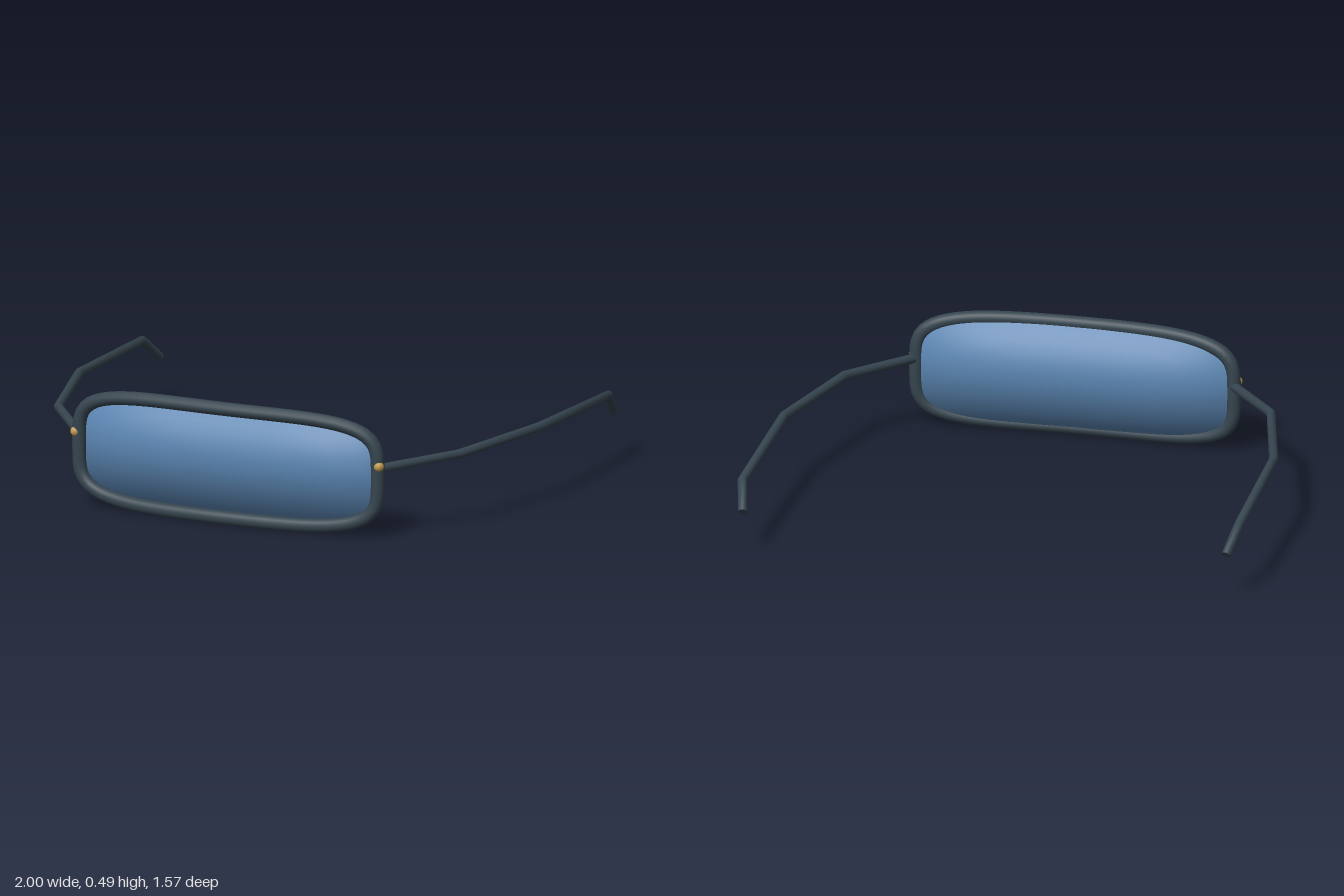
import * as THREE from 'three';

const FRAME = 0x36454f, LENS = 0x5a84b0, GOLD = 0xc09a50;
const CY = 0.244, HALF_W = 0.628, HALF_H = 0.216, RIM_R = 0.027;

const spow = (v, p) => Math.sign(v) * Math.pow(Math.abs(v), p);
const wrapZ = (x) => 0.757 - 0.122 * x * x; // the rim wraps back at the sides

// Rounded-rectangle outline (superellipse)
const outline = (a) => [HALF_W * spow(Math.cos(a), 2 / 4.3), HALF_H * spow(Math.sin(a), 2 / 4.3)];

class RimCurve extends THREE.Curve {
  getPoint(t, target = new THREE.Vector3()) {
    const [x, y] = outline(t * Math.PI * 2);
    return target.set(x, CY + y, wrapZ(x));
  }
}

// Straight segments with mitred bends: one tube ring per point
class BentCurve extends THREE.Curve {
  constructor(points) {
    super();
    this.points = points;
  }
  getPointAt(t, target = new THREE.Vector3()) {
    return target.copy(this.points[Math.round(t * (this.points.length - 1))]);
  }
  getPoint(t, target) {
    return this.getPointAt(t, target);
  }
  getTangentAt(t, target = new THREE.Vector3()) {
    const p = this.points, i = Math.round(t * (p.length - 1));
    target.set(0, 0, 0);
    if (i > 0) target.add(p[i].clone().sub(p[i - 1]).normalize());
    if (i < p.length - 1) target.add(p[i + 1].clone().sub(p[i]).normalize());
    return target.normalize();
  }
}

function mesh(name, geometry, color) {
  const m = new THREE.Mesh(geometry, new THREE.MeshStandardMaterial({ color }));
  m.name = name;
  return m;
}

// Thin lens: concentric outlines, softly shaded towards the edge on both faces
function lensGeometry() {
  const N = 64, scales = [1, 0.94, 0.85, 0.7, 0.5, 0.25, 0.001];
  const pos = [], nor = [], idx = [];
  for (const side of [1, -1]) {
    const base = pos.length / 3;
    for (const s of scales) {
      const bulge = 1 - Math.pow(s, 6);
      for (let j = 0; j < N; j++) {
        const [ox, oy] = outline((j / N) * Math.PI * 2);
        const x = ox * s, y = oy * s;
        const edge = wrapZ(x) - 0.012;
        const face = side > 0 ? 0.733 - 0.06 * x * x : 0.685 - 0.017 * x;
        pos.push(x, CY + y, THREE.MathUtils.lerp(edge, face, bulge));
        const n = new THREE.Vector3(0.5 * Math.pow(x / HALF_W, 3), 0.8 * y / HALF_H, side * 0.85).normalize();
        nor.push(n.x, n.y, n.z);
      }
    }
    for (let i = 0; i < scales.length - 1; i++) {
      for (let j = 0; j < N; j++) {
        const k = (j + 1) % N;
        const a = base + i * N + j, b = base + i * N + k, c = a + N, d = b + N;
        if (side > 0) idx.push(a, b, d, a, d, c);
        else idx.push(a, d, b, a, c, d);
      }
    }
  }
  const g = new THREE.BufferGeometry();
  g.setAttribute('position', new THREE.Float32BufferAttribute(pos, 3));
  g.setAttribute('normal', new THREE.Float32BufferAttribute(nor, 3));
  g.setIndex(idx);
  return g;
}

// Side arm with a hooked ear tip
function temple(side) {
  const group = new THREE.Group();
  group.name = side > 0 ? 'leftTemple' : 'rightTemple';
  const points = [
    [0.63, 0.278, 0.7], [0.843, 0.292, 0.425], [0.968, 0.296, -0.05],
    [0.981, 0.27, -0.67], [0.955, 0.181, -0.775],
  ].map(([x, y, z]) => new THREE.Vector3(side * x, y, z));
  const curve = new BentCurve(points);
  group.add(mesh('arm', new THREE.TubeGeometry(curve, points.length - 1, 0.0185, 10, false), FRAME));

  // Flat end cap
  const cap = mesh('armTip', new THREE.CircleGeometry(0.0185, 10), FRAME);
  cap.position.copy(points[4]);
  cap.lookAt(points[4].clone().add(curve.getTangentAt(1)));
  group.add(cap);

  // Hinge rivet on the rim
  const rivet = mesh('rivet', new THREE.SphereGeometry(0.02, 16, 12), GOLD);
  rivet.position.set(side * 0.638, 0.292, 0.722);
  group.add(rivet);
  return group;
}

export function createModel() {
  const model = new THREE.Group();
  model.name = 'glasses';
  const rim = new RimCurve();
  rim.arcLengthDivisions = 800;
  model.add(mesh('rim', new THREE.TubeGeometry(rim, 120, RIM_R, 12, true), FRAME));
  model.add(mesh('lens', lensGeometry(), LENS));
  for (const side of [1, -1]) model.add(temple(side));
  return model;
}
